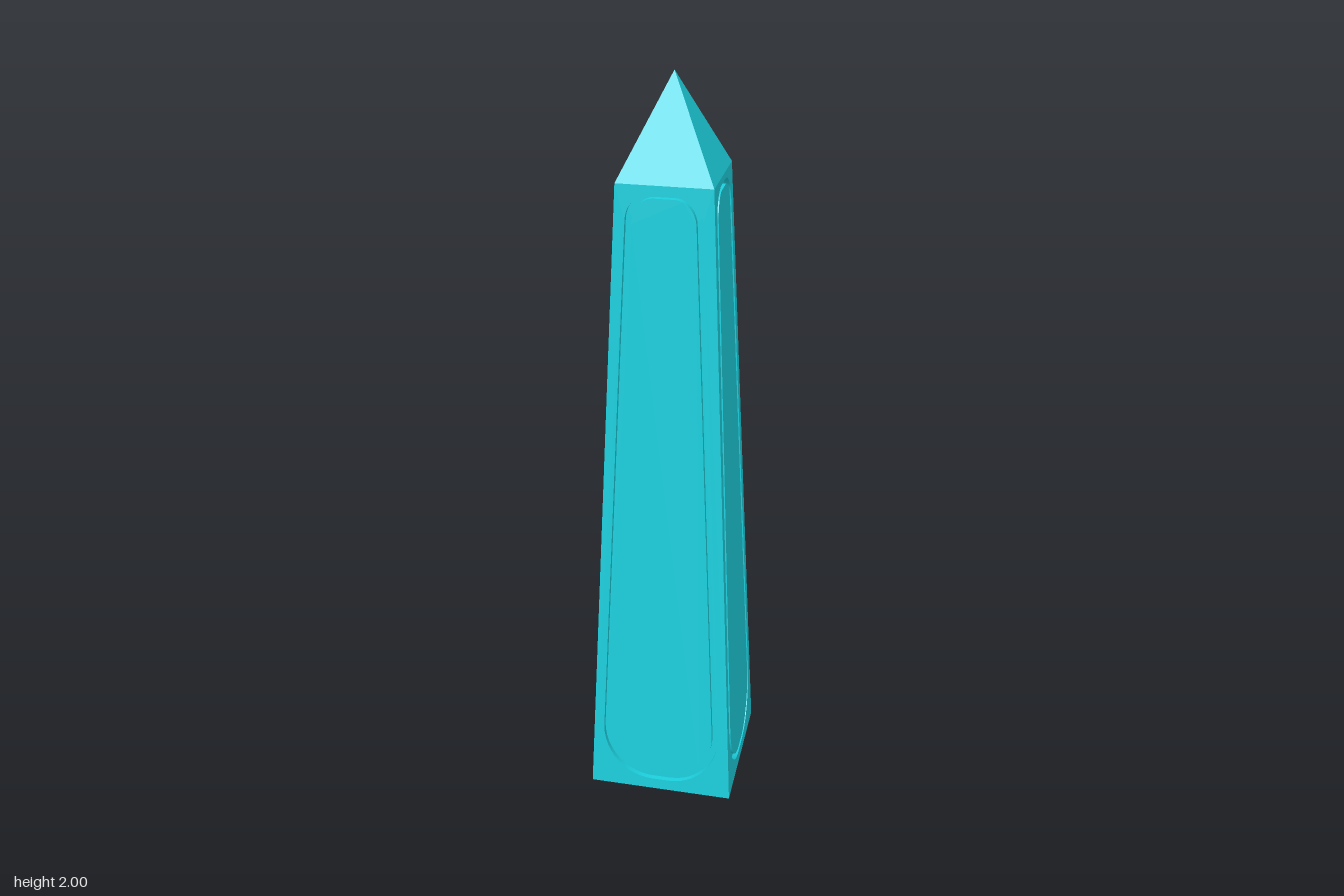
import * as THREE from 'three';

const BASE = 0.2, TOP = 0.12, SHOULDER = 1.755, HEIGHT = 2;
const GROOVE = 0.014;
const halfWidth = (y) => BASE - (BASE - TOP) * y / SHOULDER;

// Tapered panel outline with rounded ends, counter-clockwise from the lower right
function outline(inset, y0, y1, ryBottom, ryTop, flat) {
  const pts = [], n = 12;
  const corner = (cy, ry, from, sx) => {
    const rx = halfWidth(cy) - inset - flat;
    for (let i = 0; i <= n; i++) {
      const a = from + (i / n) * Math.PI / 2;
      pts.push(new THREE.Vector2(sx * flat + rx * Math.cos(a), cy + ry * Math.sin(a)));
    }
  };
  corner(y0 + ryBottom, ryBottom, -Math.PI / 2, 1);
  corner(y1 - ryTop, ryTop, 0, 1);
  corner(y1 - ryTop, ryTop, Math.PI / 2, -1);
  corner(y0 + ryBottom, ryBottom, Math.PI, -1);
  return pts;
}

// Flat sheet with an optional hole
function sheet(pts, hole, depth = 0) {
  const shape = new THREE.Shape(pts);
  if (hole) shape.holes.push(new THREE.Path(hole));
  return lean(new THREE.ShapeGeometry(shape).translate(0, 0, -depth));
}

// Groove wall along a closed outline
function wall(pts) {
  const pos = [], idx = [], n = pts.length;
  for (const p of pts) pos.push(p.x, p.y, -GROOVE, p.x, p.y, 0);
  for (let i = 0; i < n; i++) {
    const a = 2 * i, b = 2 * ((i + 1) % n);
    idx.push(a, b, b + 1, a, b + 1, a + 1);
  }
  const g = new THREE.BufferGeometry();
  g.setAttribute('position', new THREE.Float32BufferAttribute(pos, 3));
  g.setIndex(idx);
  return lean(g);
}

// Tilts a flat part onto the sloping side of the shaft
function lean(g) {
  const p = g.attributes.position;
  for (let i = 0; i < p.count; i++) p.setZ(i, p.getZ(i) + halfWidth(p.getY(i)));
  g.computeVertexNormals();
  return g;
}

export function createModel() {
  const model = new THREE.Group();
  model.name = 'obelisk';
  const material = new THREE.MeshStandardMaterial({ color: 0x1ccfdd });
  const flatMaterial = material.clone();
  flatMaterial.flatShading = true;
  const add = (parent, name, geometry, mat = material) => {
    const mesh = new THREE.Mesh(geometry, mat);
    mesh.name = name;
    parent.add(mesh);
    return mesh;
  };

  const trapezoid = [[-BASE, 0], [BASE, 0], [TOP, SHOULDER], [-TOP, SHOULDER]]
    .map(([x, y]) => new THREE.Vector2(x, y));
  const outer = outline(0.028, 0.033, 1.738, 0.16, 0.075, 0.025);
  const inner = outline(0.045, 0.05, 1.724, 0.145, 0.065, 0.025);

  // Four sides: border, sunken groove and flush panel
  const parts = {
    border: sheet(trapezoid, outer),
    grooveFloor: sheet(outer, inner, GROOVE),
    panel: sheet(inner),
    grooveOuterWall: wall([...outer].reverse()),
    grooveInnerWall: wall(inner),
  };
  ['front', 'left', 'back', 'right'].forEach((name, i) => {
    const side = new THREE.Group();
    side.name = name + 'Side';
    side.rotation.y = i * Math.PI / 2;
    for (const key in parts) add(side, key, parts[key]);
    model.add(side);
  });

  // Pointed cap
  const cap = new THREE.ConeGeometry(TOP * Math.SQRT2, HEIGHT - SHOULDER, 4, 1, true);
  cap.rotateY(Math.PI / 4).translate(0, (HEIGHT + SHOULDER) / 2, 0);
  add(model, 'cap', cap, flatMaterial);

  // Underside
  add(model, 'underside', new THREE.PlaneGeometry(2 * BASE, 2 * BASE).rotateX(Math.PI / 2));
  return model;
}
